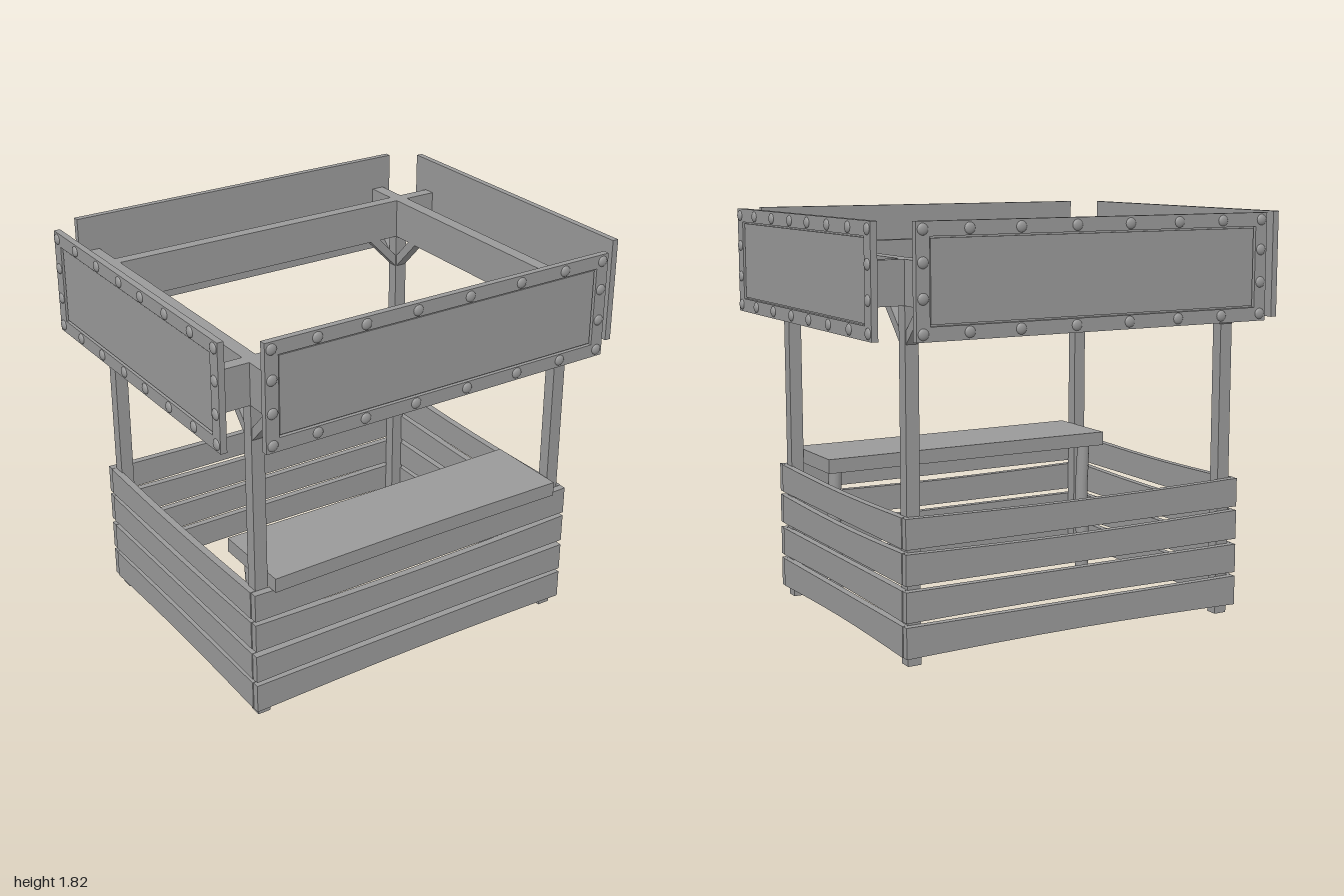
import * as THREE from 'three';

const mat = new THREE.MeshStandardMaterial({ color: 0x999999, flatShading: true });
const smoothMat = new THREE.MeshStandardMaterial({ color: 0x999999 });

function add(parent, name, geometry, x = 0, y = 0, z = 0, material = mat) {
  const mesh = new THREE.Mesh(geometry, material);
  mesh.name = name;
  mesh.position.set(x, y, z);
  parent.add(mesh);
  return mesh;
}

// Plank along x whose top dips and bottom rises towards the middle
function plank(length, height, depth, dip, rise) {
  const g = new THREE.BoxGeometry(length, height, depth, 8, 1, 1);
  const p = g.attributes.position;
  for (let i = 0; i < p.count; i++) {
    const bow = Math.cos((p.getX(i) / length) * Math.PI);
    p.setY(i, p.getY(i) + (p.getY(i) > 0 ? -dip : rise) * bow);
  }
  g.computeVertexNormals();
  return g;
}

// Four stacked planks: [bottom, top, dip, rise]
const SLATS = [
  [0.042, 0.175, 0, 0.013],
  [0.193, 0.323, 0, 0.009],
  [0.348, 0.48, 0.012, 0],
  [0.498, 0.627, 0.012, 0],
];

function slatWall(name, length) {
  const g = new THREE.Group();
  g.name = name;
  for (const [y0, y1, dip, rise] of SLATS)
    add(g, 'slat', plank(length, y1 - y0, 0.032, dip, rise), 0, (y0 + y1) / 2, 0);
  return g;
}

function rect(path, w, y0, y1) {
  path.moveTo(-w, y0);
  path.lineTo(w, y0);
  path.lineTo(w, y1);
  path.lineTo(-w, y1);
  path.closePath();
  return path;
}

// Sign board: raised frame, face set inside a thin groove, rivets; back lies on z = 0
function signBoard(name, half, rivetXs, sideYs) {
  const g = new THREE.Group();
  g.name = name;
  const w = half - 0.06;
  const shape = rect(new THREE.Shape(), half, 1.353, 1.82);
  shape.holes.push(rect(new THREE.Path(), w, 1.412, 1.761));
  add(g, 'signFrame', new THREE.ExtrudeGeometry(shape, { depth: 0.029, bevelEnabled: false }));
  add(g, 'signBacking', new THREE.BoxGeometry(2 * w, 0.349, 0.012), 0, 1.5865, 0.006);
  add(g, 'signFace', new THREE.BoxGeometry(2 * w - 0.014, 0.335, 0.012), 0, 1.5865, 0.016);

  const rivet = new THREE.SphereGeometry(0.024, 14, 6, 0, Math.PI * 2, 0, Math.PI / 2);
  rivet.rotateX(Math.PI / 2);
  rivet.scale(1, 1, 0.5);
  const spots = [];
  for (const x of rivetXs) spots.push([x, 1.789], [x, 1.384]);
  for (const y of sideYs) spots.push([rivetXs[0], y], [rivetXs[rivetXs.length - 1], y]);
  for (const [x, y] of spots) add(g, 'rivet', rivet, x, y, 0.028, smoothMat);
  return g;
}

// Diagonal brace rising along +x from the post face at x = 0
function braceGeometry() {
  const s = new THREE.Shape();
  s.moveTo(0, 1.325);
  s.lineTo(0.155, 1.485);
  s.lineTo(0.1, 1.485);
  s.lineTo(0, 1.38);
  s.closePath();
  const g = new THREE.ExtrudeGeometry(s, { depth: 0.052, bevelEnabled: false });
  g.translate(0, 0, -0.026);
  return g;
}

// Rough, slightly crooked log
function logGeometry() {
  const g = new THREE.CylinderGeometry(0.03, 0.033, 0.632, 12, 6);
  const p = g.attributes.position;
  for (let i = 0; i < p.count; i++) {
    const y = p.getY(i);
    p.setX(i, p.getX(i) + 0.003 * Math.sin(y * 13));
    p.setZ(i, p.getZ(i) + 0.005 * Math.cos(y * 11));
  }
  return g;
}

export function createModel() {
  const model = new THREE.Group();
  model.name = 'marketStall';
  const PX = 0.776, PZ = 0.607;

  // Corner posts with braces
  const post = new THREE.BoxGeometry(0.06, 1.66, 0.056);
  const brace = braceGeometry();
  for (const sx of [-1, 1]) {
    for (const sz of [-1, 1]) {
      add(model, 'cornerPost', post, sx * PX, 0.83, sz * PZ);
      add(model, 'innerBraceX', brace, sx * (PX - 0.03), 0, sz * PZ).rotation.y = sx > 0 ? Math.PI : 0;
      for (const dir of [-1, 1])
        add(model, 'braceZ', brace, sx * PX, 0, sz * PZ + dir * 0.028).rotation.y = (-dir * Math.PI) / 2;
    }
  }

  // Top beams crossing flush at the posts
  for (const s of [-1, 1]) {
    add(model, 'longBeam', new THREE.BoxGeometry(1.94, 0.184, 0.056), 0, 1.572, s * PZ);
    add(model, 'crossBeam', new THREE.BoxGeometry(0.06, 0.184, 1.58), s * PX, 1.572, 0);
  }

  // Slatted walls on all four sides
  for (const s of [-1, 1]) {
    const wall = slatWall(s > 0 ? 'frontWall' : 'backWall', 1.656);
    wall.position.z = s * 0.653;
    model.add(wall);
    const side = slatWall(s > 0 ? 'leftWall' : 'rightWall', 1.27);
    side.position.x = s * 0.815;
    side.rotation.y = Math.PI / 2;
    model.add(side);
  }

  // Sign boards on all four sides
  const longXs = [-0.815, -0.61, -0.385, -0.14, 0.117, 0.378, 0.61, 0.815];
  const sideXs = [-0.685, -0.505, -0.3, -0.095, 0.095, 0.3, 0.505, 0.685];
  for (const s of [-1, 1]) {
    const sign = signBoard(s > 0 ? 'frontSign' : 'backSign', 0.845, longXs.map((x) => s * x), [1.661, 1.521]);
    sign.position.z = s * 0.786;
    sign.rotation.y = s > 0 ? 0 : Math.PI;
    model.add(sign);
    const side = signBoard(s > 0 ? 'leftSign' : 'rightSign', 0.715, sideXs, [1.653, 1.513]);
    side.position.x = s * 0.96;
    side.rotation.y = (s * Math.PI) / 2;
    model.add(side);
  }

  // Counter board with a slightly worn front edge, on two logs
  const counter = plank(1.48, 0.39, 0.066, 0.004, 0.008);
  counter.rotateX(-Math.PI / 2);
  add(model, 'counterTop', counter, -0.005, 0.663, 0.502);
  const log = logGeometry();
  for (const x of [-0.68, 0.672]) add(model, 'counterLeg', log, x, 0.316, 0.395, smoothMat);

  return model;
}
